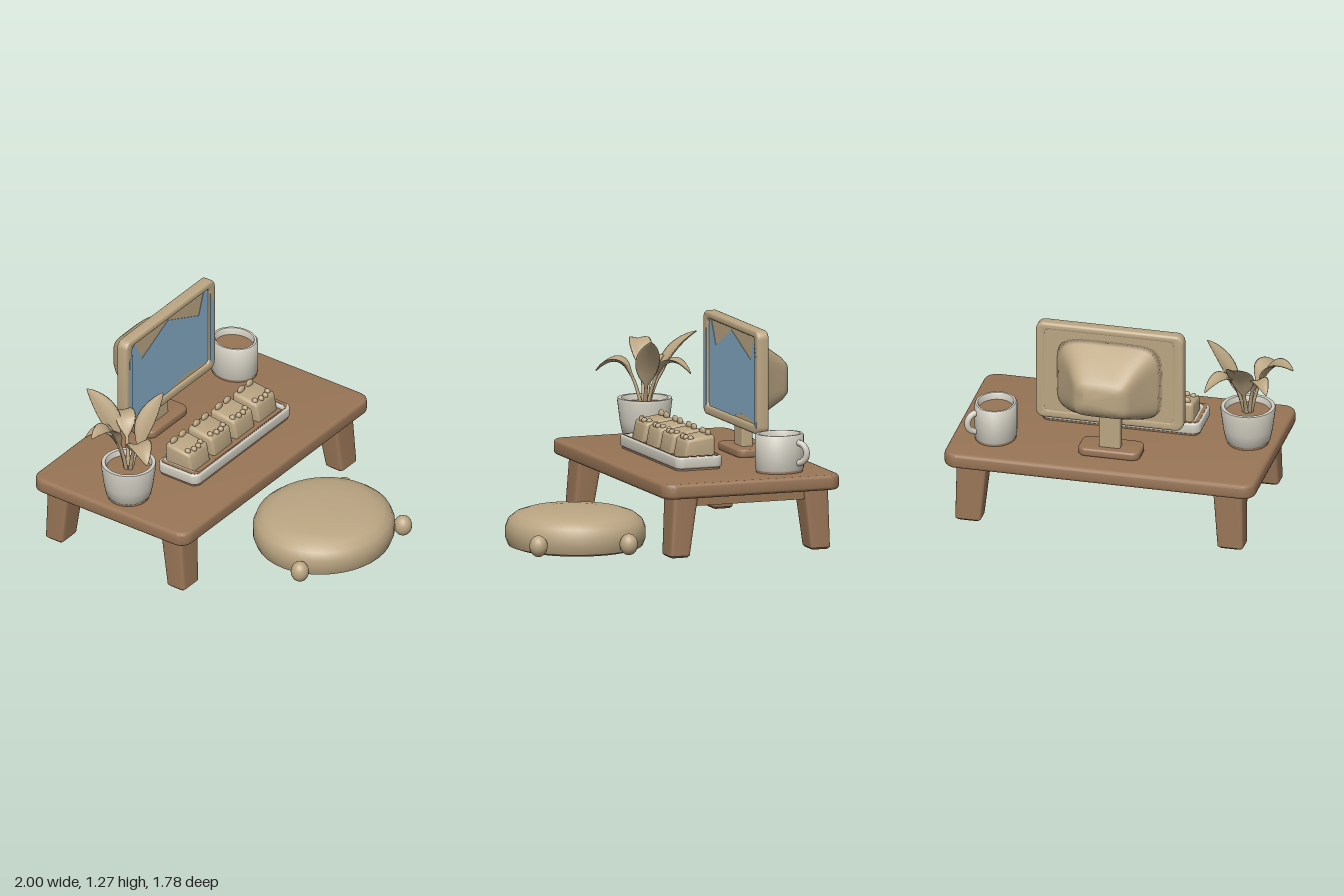
import * as THREE from 'three';
import { toCreasedNormals } from 'three/addons/utils/BufferGeometryUtils.js';
import { RoundedBoxGeometry } from 'three/addons/geometries/RoundedBoxGeometry.js';

const flat = (name, color) => Object.assign(new THREE.MeshStandardMaterial({ color }), { name });

// Rounded rectangle outline
function roundRect(path, x0, x1, y0, y1, r) {
  path.moveTo(x0 + r, y0);
  path.lineTo(x1 - r, y0);
  path.absarc(x1 - r, y0 + r, r, -Math.PI / 2, 0);
  path.absarc(x1 - r, y1 - r, r, 0, Math.PI / 2);
  path.absarc(x0 + r, y1 - r, r, Math.PI / 2, Math.PI);
  path.absarc(x0 + r, y0 + r, r, Math.PI, Math.PI * 1.5);
  return path;
}

// Bevelled slab facing +z from z = 0 to depth; hole is [x0, x1, y0, y1, r]
function slab(outer, depth, bevel, hole) {
  const shape = roundRect(new THREE.Shape(), ...outer);
  if (hole) shape.holes.push(roundRect(new THREE.Path(), ...hole));
  const g = new THREE.ExtrudeGeometry(shape, {
    depth: depth - 2 * bevel, bevelEnabled: bevel > 0, bevelSize: bevel, bevelThickness: bevel,
    bevelOffset: -bevel, bevelSegments: 3, curveSegments: 8,
  });
  return toCreasedNormals(g.translate(0, 0, bevel), 0.6);
}

// The same slab lying flat; rectangles are given as x0, x1, z0, z1, r
function flatSlab(outer, y, height, bevel, hole) {
  const turn = ([x0, x1, z0, z1, r]) => [x0, x1, -z1, -z0, r];
  return slab(turn(outer), height, bevel, hole && turn(hole)).rotateX(-Math.PI / 2).translate(0, y, 0);
}

// Closed skin through rings of points, capped at both ends
function loft(rings) {
  const n = rings[0].length, pts = rings.flat(), idx = [];
  for (let i = 0; i < rings.length - 1; i++) for (let j = 0; j < n; j++) {
    const a = i * n + j, b = i * n + (j + 1) % n;
    idx.push(a, b, a + n, b, b + n, a + n);
  }
  const last = (rings.length - 1) * n;
  for (let j = 1; j < n - 1; j++) {
    idx.push(0, j + 1, j);
    idx.push(last, last + j, last + j + 1);
  }
  const g = new THREE.BufferGeometry().setFromPoints(pts);
  g.setIndex(idx);
  g.computeVertexNormals();
  return g;
}

// Squarish ring in two unit directions
function squareRing(power, n, place) {
  return Array.from({ length: n }, (_, j) => {
    const t = (j + 0.5) / n * Math.PI * 2, c = Math.cos(t), s = Math.sin(t);
    return place(Math.sign(c) * Math.abs(c) ** power, Math.sign(s) * Math.abs(s) ** power);
  });
}

// Folded, slightly thick leaf on a thin stem
function leaf(base, mid, tip, width) {
  const curve = new THREE.QuadraticBezierCurve3(base, mid, tip);
  const out = new THREE.Vector3(tip.x - base.x, 0, tip.z - base.z).normalize();
  const side = new THREE.Vector3(0, 1, 0).cross(out);
  const rings = [];
  for (let i = 0; i <= 18; i++) {
    const t = i / 18, c = curve.getPoint(t), up = curve.getTangent(t).cross(side);
    const k = Math.max(0, (t - 0.3) / 0.7);
    const w = 0.004 + 0.009 * (1 - t) + width * Math.sin(Math.PI * k ** 0.85) ** 0.8;
    const thick = 0.004 + 0.007 * (1 - t);
    rings.push(Array.from({ length: 12 }, (_, j) => {
      const a = j / 12 * Math.PI * 2, x = Math.cos(a) * w;
      const lift = Math.sin(a) * thick + Math.abs(x) * 0.3 * Math.min(1, k * 4);
      return c.clone().addScaledVector(side, x).addScaledVector(up, lift);
    }));
  }
  return loft(rings);
}

const lathe = (pts) => toCreasedNormals(
  new THREE.LatheGeometry(pts.map(([x, y]) => new THREE.Vector2(x, y)), 40), 0.7);

export function createModel() {
  const root = new THREE.Group();
  const wood = flat('wood', 0x987556), tan = flat('tan', 0xbba683);
  const white = flat('ceramic', 0xd0ccc0), blue = flat('screenBlue', 0x86abc6);
  const add = (name, geo, mat, parent = root) => {
    const m = new THREE.Mesh(geo, mat);
    m.name = name;
    parent.add(m);
    return m;
  };
  const group = (name) => {
    const g = new THREE.Group();
    g.name = name;
    root.add(g);
    return g;
  };

  // Low table: top, splayed legs and side rails
  const table = group('table');
  add('tableTop', flatSlab([-0.885, 1, -0.89, 0.23, 0.08], 0.395, 0.09, 0.02), wood, table);
  const legX = [[-0.81, -0.655, -0.805, -0.625], [0.78, 0.935, 0.745, 0.93]];
  const legZ = [[0.045, 0.17, -0.01, 0.145], [-0.84, -0.715, -0.83, -0.675]];
  for (const x of legX) for (const z of legZ) {
    const ring = (y, i, inset) => squareRing(0.22, 24, (c, s) => new THREE.Vector3(
      (x[i] + x[i + 1]) / 2 + c * ((x[i + 1] - x[i]) / 2 - inset), y,
      (z[i] + z[i + 1]) / 2 - s * ((z[i + 1] - z[i]) / 2 - inset)));
    add('tableLeg', toCreasedNormals(loft([ring(0.035, 0, 0.012), ring(0.047, 0, 0), ring(0.4, 2, 0)]), 0.6), wood, table);
  }
  for (const x of [-0.735, 0.865]) {
    add('sideRail', new THREE.BoxGeometry(0.09, 0.065, 0.95).translate(x, 0.37, -0.345), wood, table);
  }

  // Floor cushion with ball feet
  const cushion = group('cushion');
  add('cushionPad', lathe([[0, 0.01], [0.37, 0.01], [0.415, 0.025], [0.433, 0.07], [0.433, 0.13], [0.415, 0.175],
    [0.37, 0.21], [0.3, 0.232], [0.18, 0.243], [0, 0.247]]).scale(1, 1, 0.95).translate(0.172, 0, 0.478), tan, cushion);
  for (const [x, z] of [[-0.28, 0.63], [0.61, 0.31], [0.48, 0.83]]) {
    add('cushionBall', new THREE.SphereGeometry(0.054, 20, 14).scale(1, 1.18, 1).translate(x, 0.08, z), tan, cushion);
  }

  // Monitor: rim, panel, tapered back, stand and picture
  const monitor = group('monitor');
  add('screenRim', slab([-0.395, 0.5, 0.66, 1.28, 0.05], 0.075, 0.015, [-0.33, 0.44, 0.715, 1.235, 0.025])
    .translate(0, 0, -0.62), tan, monitor);
  add('screenPanel', new THREE.BoxGeometry(0.83, 0.56, 0.055).translate(0.055, 0.97, -0.5895), tan, monitor);
  const bulge = [[-0.61, 0.96, 0.325, 0.245], [-0.65, 0.955, 0.295, 0.232], [-0.74, 0.943, 0.225, 0.18],
    [-0.82, 0.935, 0.18, 0.132], [-0.855, 0.932, 0.15, 0.1], [-0.872, 0.93, 0.1, 0.06]];
  add('monitorBack', loft(bulge.map(([z, cy, hx, hy]) => squareRing(0.4, 40,
    (c, s) => new THREE.Vector3(0.05 + c * hx, cy - s * hy, z)))), tan, monitor);
  add('standNeck', new RoundedBoxGeometry(0.13, 0.26, 0.07, 2, 0.012).translate(0.04, 0.64, -0.635), tan, monitor);
  add('standFoot', flatSlab([-0.15, 0.225, -0.72, -0.535, 0.05], 0.483, 0.05, 0.012), wood, monitor);
  const plate = (name, pts, z) => add(name, new THREE.ExtrudeGeometry(
    new THREE.Shape(pts.map(([x, y]) => new THREE.Vector2(x, y))), { depth: 0.003, bevelEnabled: false })
    .translate(0, 0, z), blue, monitor);
  plate('screenPicture', [[-0.33, 0.715], [0.06, 0.715], [0.22, 0.75], [0.44, 0.725], [0.44, 1.235], [0.4, 1.235],
    [0.35, 1.09], [0.04, 1.22], [-0.22, 1.09], [-0.29, 1.235], [-0.33, 1.2]], -0.562);
  plate('rimPaintLeft', [[0.447, 0.72], [0.48, 0.7], [0.476, 1.12], [0.447, 1.2]], -0.547);
  plate('rimPaintRight', [[-0.37, 0.7], [-0.338, 0.72], [-0.338, 1.18], [-0.365, 1.15]], -0.547);

  // Tray with four sloped keys
  const keyboard = group('keyboard');
  const inner = [-0.365, 0.495, -0.285, -0.05, 0.03];
  add('trayBase', flatSlab([-0.41, 0.54, -0.307, -0.028, 0.045], 0.484, 0.02, 0), wood, keyboard);
  add('trayWall', flatSlab([-0.42, 0.55, -0.315, -0.02, 0.05], 0.495, 0.07, 0.012, inner), white, keyboard);
  add('trayFloor', flatSlab([-0.38, 0.51, -0.295, -0.04, 0.03], 0.5, 0.045, 0), wood, keyboard);
  add('trayRimLine', flatSlab([-0.407, 0.537, -0.302, -0.033, 0.04], 0.562, 0.005, 0,
    [-0.385, 0.515, -0.295, -0.04, 0.035]), wood, keyboard);
  for (const x of [-0.278, -0.053, 0.17, 0.396]) {
    const key = new RoundedBoxGeometry(0.19, 0.13, 0.2, 3, 0.02);
    const p = key.attributes.position;
    for (let i = 0; i < p.count; i++) {
      const up = p.getY(i) / 0.13 + 0.5, back = 0.5 - p.getZ(i) / 0.2;
      p.setY(i, p.getY(i) + up * back * 0.025);
      p.setZ(i, p.getZ(i) - up * (1 - back) * 0.025);
    }
    key.computeVertexNormals();
    add('key', toCreasedNormals(key.translate(x, 0.592, -0.183), 0.7), tan, keyboard);
    for (let i = 0; i < 4; i++) {
      add('keyBump', new THREE.SphereGeometry(0.018, 10, 8)
        .translate(x - 0.063 + i * 0.042, 0.662, -0.125 - (i % 3 ? 0 : 0.015)), tan, keyboard);
    }
    for (const s of [-1, 1]) {
      add('keyRidge', new THREE.SphereGeometry(0.03, 12, 8).scale(1.1, 0.75, 0.5)
        .translate(x + s * 0.042, 0.687, -0.255), tan, keyboard);
    }
  }

  // Mug with a drink and a side handle
  const mug = group('mug');
  const oval = (g, y) => g.scale(1, 1, 1.17).translate(0.747, y, -0.588);
  add('mugBody', oval(lathe([[0, 0.492], [0.118, 0.492], [0.125, 0.505], [0.125, 0.703], [0.118, 0.712],
    [0.106, 0.712], [0.1, 0.703], [0.1, 0.64]]), 0), white, mug);
  add('drink', oval(new THREE.CylinderGeometry(0.102, 0.102, 0.01, 32), 0.665), wood, mug);
  add('mugFoot', oval(new THREE.CylinderGeometry(0.121, 0.121, 0.02, 32), 0.492), wood, mug);
  const handle = add('mugHandle', new THREE.TorusGeometry(0.06, 0.019, 12, 20, Math.PI).rotateZ(-Math.PI / 2), white, mug);
  handle.position.set(0.845, 0.605, -0.665);
  handle.rotation.y = 0.7;

  // Potted plant
  const plant = group('plant');
  add('pot', lathe([[0, 0.49], [0.115, 0.49], [0.133, 0.51], [0.147, 0.58], [0.163, 0.705], [0.16, 0.72],
    [0.138, 0.72], [0.132, 0.705], [0.122, 0.64]]).translate(-0.712, 0, -0.302), white, plant);
  add('soil', new THREE.CylinderGeometry(0.129, 0.127, 0.02, 32).translate(-0.712, 0.675, -0.302), wood, plant);
  add('potFoot', new THREE.CylinderGeometry(0.122, 0.122, 0.02, 32).translate(-0.712, 0.492, -0.302), wood, plant);
  // Each leaf: tip x, y, z, height of the bend, half width
  const leaves = [[-1.0, 1.01, -0.36, 1.12, 0.06], [-0.87, 0.9, -0.5, 1.06, 0.05], [-0.69, 1.1, -0.62, 0.98, 0.075],
    [-0.5, 0.88, -0.51, 1.08, 0.055], [-0.45, 1.09, -0.24, 0.92, 0.065], [-0.87, 0.87, -0.055, 1.06, 0.065]];
  for (const [x, y, z, bend, width] of leaves) {
    const mix = (from, to, t) => from + (to - from) * t;
    add('leaf', leaf(new THREE.Vector3(mix(-0.71, x, 0.07), 0.67, mix(-0.3, z, 0.07)),
      new THREE.Vector3(mix(-0.71, x, 0.35), bend, mix(-0.3, z, 0.35)),
      new THREE.Vector3(x, y, z), width), tan, plant);
  }
  return root;
}
